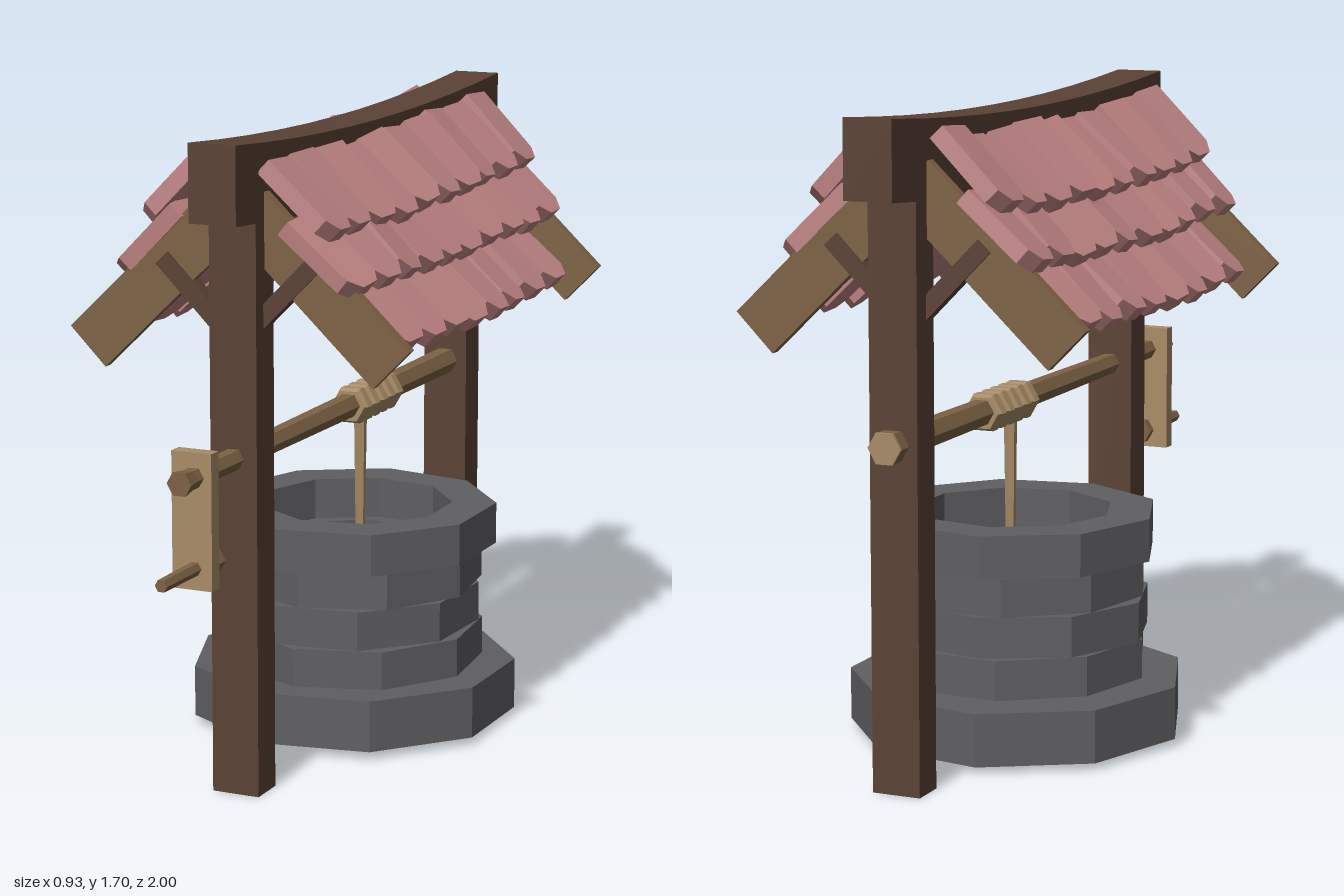
import * as THREE from 'three';

const paint = (name, color) => {
  const m = new THREE.MeshStandardMaterial({ color, flatShading: true });
  m.name = name;
  return m;
};

export function createModel() {
  const model = new THREE.Group();
  model.name = 'well';
  const darkWood = paint('dark wood', 0x5a4134);
  const midWood = paint('mid wood', 0x7d6244);
  const paleWood = paint('pale wood', 0xa88c66);
  const stone = paint('grey stone', 0x5f5f63);
  const clay = paint('pink clay', 0xc08585);
  const CX = 0.012, POST = 0.13;

  let seed = 11;
  const jitter = (a) => {
    seed = (seed * 16807) % 2147483647;
    return (seed / 2147483647 * 2 - 1) * a;
  };
  const add = (name, geometry, material, x = 0, y = 0, z = 0, parent = model) => {
    const mesh = new THREE.Mesh(geometry, material);
    mesh.name = name;
    mesh.position.set(x, y, z);
    parent.add(mesh);
    return mesh;
  };
  const box = (w, h, d) => new THREE.BoxGeometry(w, h, d);
  // Six-sided rod along z; points are [radius, z] from back to front
  const rod = (points) => new THREE.LatheGeometry(points.map(([r, z]) => new THREE.Vector2(r, z)), 6)
    .rotateY(Math.PI / 2).rotateX(Math.PI / 2);

  // Stone courses: [bottom, top, outer radius, inner radius, centre x, turn]
  [
    [0.02, 0.16, 0.45, 0.29, -0.01, 0],
    [0.165, 0.27, 0.352, 0.25, -0.002, 0.1],
    [0.275, 0.382, 0.352, 0.25, -0.013, -0.06],
    [0.385, 0.485, 0.35, 0.25, -0.002, 0.14],
    [0.49, 0.603, 0.385, 0.265, 0, 0],
  ].forEach(([y0, y1, ro, ri, x, turn]) => {
    const h = (y1 - y0) / 2;
    const profile = [[ro, -h], [ro, h], [ri, h], [ri, -h], [ro, -h]].map(p => new THREE.Vector2(...p));
    const ring = add('stoneCourse', new THREE.LatheGeometry(profile, 9), stone, x, y0 + h, -0.18);
    ring.rotation.set(jitter(0.008), -Math.PI / 2 + turn, jitter(0.008));
  });

  // Posts with a pair of diagonal braces and rafters at each end
  [[0.55, 0.1, 0.54], [-0.825, 0.095, -0.8]].forEach(([z, depth, rafterZ]) => {
    add('post', box(POST, 1.53, depth), darkWood, CX, 0.765, z);
    const frame = new THREE.Group();
    frame.name = 'roofFrame';
    frame.position.z = rafterZ;
    frame.rotation.y = 0.043;
    model.add(frame);
    for (const s of [1, -1]) {
      const rafter = add('rafter', box(0.57, 0.14, 0.03), midWood, s * 0.212, 1.335, 0, frame);
      rafter.rotation.z = -s * 0.77;
      const brace = add('brace', box(0.24, 0.045, 0.045), darkWood, s * 0.12, 1.295, 0, frame);
      brace.rotation.z = s * 0.8;
    }
  });

  // Sagging ridge beam
  const ridge = box(POST, 0.2, 1.71, 1, 1, 1);
  const beam = new THREE.BoxGeometry(POST, 0.2, 1.71, 1, 1, 10);
  ridge.dispose();
  const bp = beam.attributes.position;
  for (let i = 0; i < bp.count; i++) {
    const t = bp.getZ(i) / 0.855;
    bp.setY(i, bp.getY(i) - 0.035 * (1 - t * t));
  }
  add('ridgeBeam', beam, darkWood, CX, 1.598, -0.145);

  // Roof tiles: [tip x, tip y, first z, last z, count] for each row
  const tileGeometry = (w, length) => {
    const a = w / 2, b = w / 4;
    const shape = new THREE.Shape([[-a, length], [-a, 0.035], [-b, 0], [b, 0], [a, 0.035], [a, length]]
      .map(p => new THREE.Vector2(...p)));
    return new THREE.ExtrudeGeometry(shape, { depth: 0.045, bevelEnabled: false }).translate(0, 0, -0.045);
  };
  const rows = [
    [0.275, 1.488, 0.575, -0.835, 10],
    [0.348, 1.355, 0.57, -0.83, 10],
    [0.42, 1.195, 0.445, -0.69, 8],
  ];
  for (const side of [1, -1]) {
    const roof = new THREE.Group();
    roof.name = side > 0 ? 'leftRoof' : 'rightRoof';
    model.add(roof);
    rows.forEach(([x, y, z0, z1, n]) => {
      const pitch = (z0 - z1) / n;
      for (let i = 0; i < n; i++) {
        const z = z0 - pitch * (i + 0.5);
        const t = (z + 0.13) / 0.7;
        const sag = 0.02 * (1 - t * t);
        const tile = add('roofTile', tileGeometry(pitch + 0.006 + jitter(0.006), 0.245), clay,
          side * (x + jitter(0.008)), y - sag + jitter(0.008), z, roof);
        tile.rotation.set(-0.82 + jitter(0.05), side * Math.PI / 2, jitter(0.04), 'YXZ');
        tile.rotateY(jitter(0.13));
      }
    });
  }

  // Winding axle
  add('axle', rod([[0, -0.92], [0.045, -0.92], [0.038, -0.78], [0.028, 0.78],
    [0.027, 0.85], [0.034, 0.9], [0, 0.9]]), midWood, CX, 0.887, 0);
  add('axleEndCap', rod([[0, -0.005], [0.045, -0.005], [0.045, 0.004], [0, 0.004]]), paleWood, CX, 0.887, -0.92);

  // Crank arm and handle
  add('crankArm', box(0.11, 0.35, 0.04), paleWood, 0.005, 0.775, 0.8);
  add('crankHandle', rod([[0, 0.72], [0.036, 0.72], [0.036, 0.745], [0.019, 0.78],
    [0.017, 1], [0, 1]]), midWood, CX, 0.655, 0);

  // Rope coils on the axle and the hanging rope
  for (let i = 0; i < 5; i++) {
    add('ropeCoil', rod([[0.03, -0.026], [0.047, -0.026], [0.055, -0.014], [0.055, 0.014],
      [0.047, 0.026], [0.03, 0.026]]), paleWood, CX, 0.884, -0.127 - i * 0.052);
  }
  add('rope', new THREE.CylinderGeometry(0.018, 0.01, 0.55, 6), paleWood, CX, 0.595, -0.18);

  return model;
}
